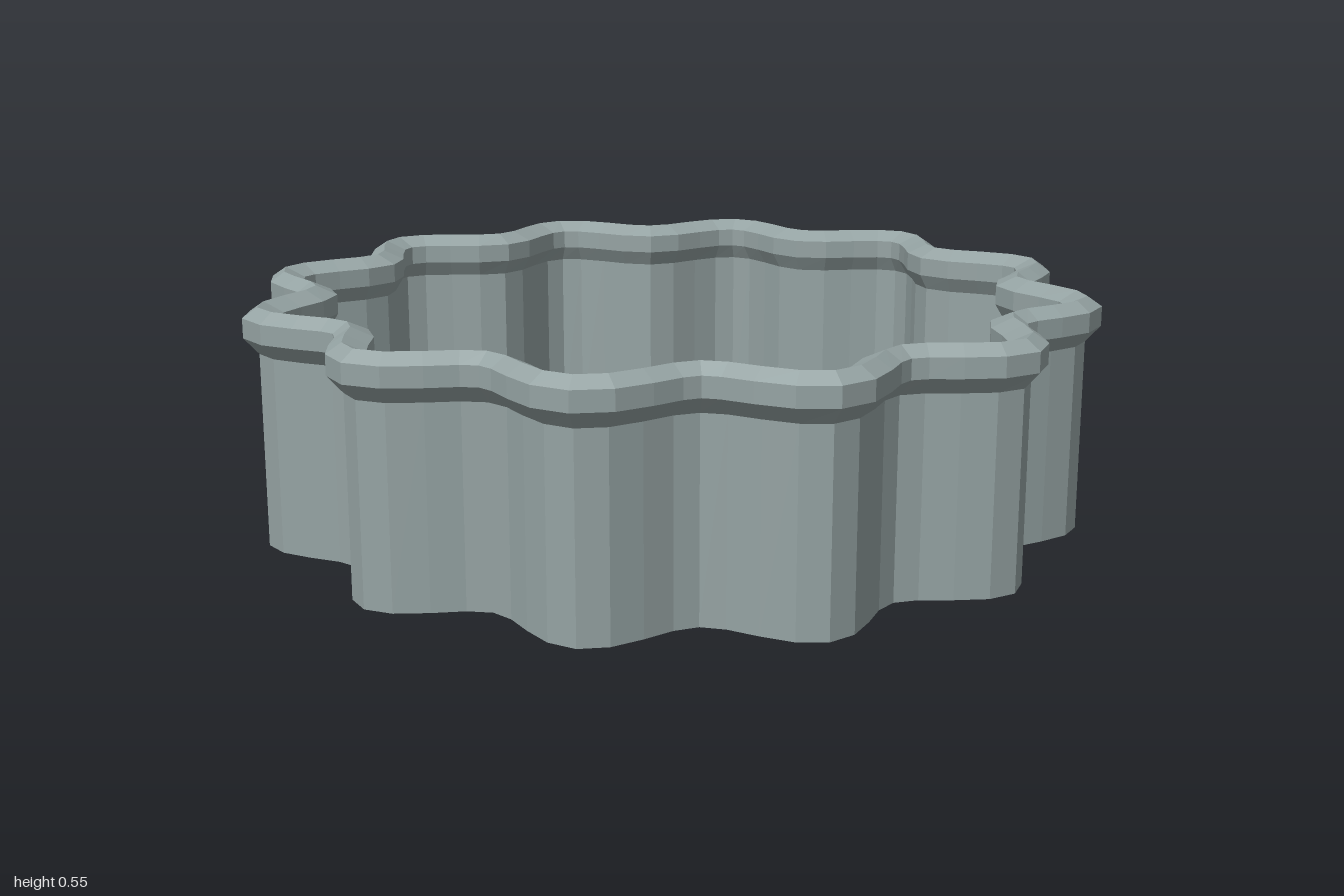
import * as THREE from 'three';

const LOBES = 12, STEPS = LOBES * 8;
const MEAN = 0.895, WAVE = 0.067;

// Point on the scalloped outline, pushed sideways along its normal
function outline(i, offset) {
  const t = (i / STEPS) * Math.PI * 2;
  const r = MEAN + WAVE * Math.cos(LOBES * t);
  const dr = -WAVE * LOBES * Math.sin(LOBES * t);
  const s = Math.sin(t), c = Math.cos(t);
  // tangent (x, z), then the outward normal
  const tx = dr * s + r * c, tz = dr * c - r * s;
  const len = Math.hypot(tx, tz);
  return [r * s - (tz / len) * offset, r * c + (tx / len) * offset];
}

// Sweep a cross-section of [offset, height] points around the outline
function sweep(name, profile, material) {
  const pos = [], index = [], n = profile.length;
  for (let i = 0; i <= STEPS; i++) {
    for (const [offset, y] of profile) {
      const [x, z] = outline(i % STEPS, offset);
      pos.push(x, y, z);
    }
  }
  for (let i = 0; i < STEPS; i++) {
    for (let j = 0; j < n - 1; j++) {
      const a = i * n + j, b = a + n;
      index.push(a, b, b + 1, a, b + 1, a + 1);
    }
  }
  const indexed = new THREE.BufferGeometry();
  indexed.setAttribute('position', new THREE.Float32BufferAttribute(pos, 3));
  indexed.setIndex(index);
  // separate facets give the crisp faceted shading
  const geometry = indexed.toNonIndexed();
  geometry.computeVertexNormals();
  const mesh = new THREE.Mesh(geometry, material);
  mesh.name = name;
  return mesh;
}

export function createModel() {
  const group = new THREE.Group();
  group.name = 'scallopedCutter';
  const metal = new THREE.MeshStandardMaterial({ color: 0x95a3a3 });
  metal.name = 'grey metal';

  // Thin upright wall with its bottom edge
  group.add(sweep('wall', [
    [-0.022, 0.447], [-0.022, 0], [0.004, 0], [0.004, 0.447],
  ], metal));

  // Thick bevelled rim, wider than the wall on both sides
  group.add(sweep('rim', [
    [0.004, 0.447], [0.038, 0.485], [0.038, 0.53], [0.004, 0.553],
    [-0.045, 0.53], [-0.045, 0.485], [-0.022, 0.447],
  ], metal));

  return group;
}
